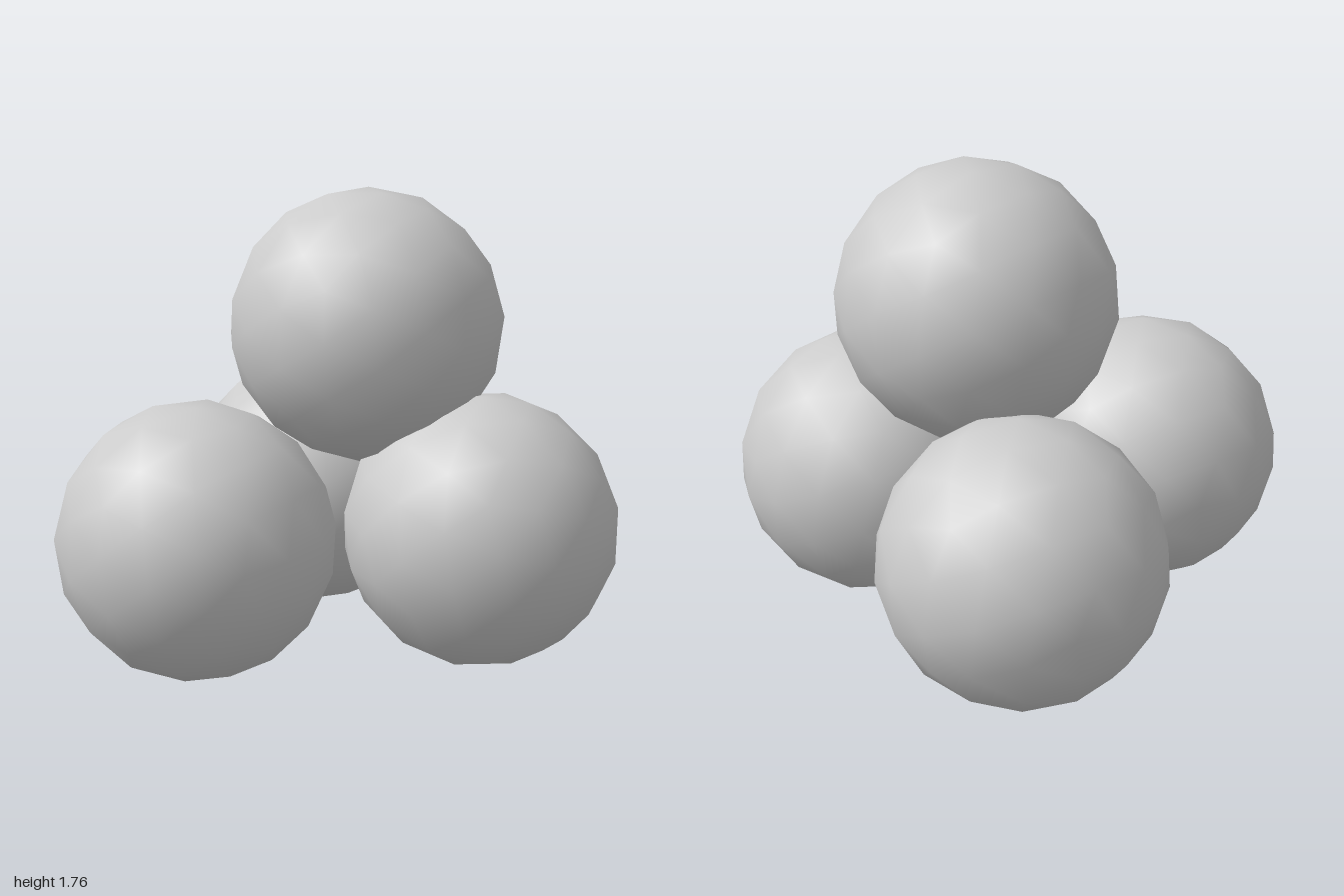
import * as THREE from 'three';

// Pyramid of four low-sided, smooth-shaded balls
export function createModel() {
  const group = new THREE.Group();
  const material = new THREE.MeshStandardMaterial({ color: 0xcccccc });
  const geometry = new THREE.IcosahedronGeometry(0.517, 2);

  // name, centre, tilt
  const balls = [
    ['frontBall', [-0.12, 0.52, 0.47], [0.1, 0.2, 0.08]],
    ['backRightBall', [-0.49, 0.52, -0.475], [0.1, 0.2, 0.08]],
    ['backLeftBall', [0.49, 0.52, -0.4], [0.15, 0.9, 0.1]],
    ['topBall', [0.06, 1.26, -0.22], [0.2, 0.5, -0.05]],
  ];
  for (const [name, centre, tilt] of balls) {
    const ball = new THREE.Mesh(geometry, material);
    ball.name = name;
    ball.position.set(...centre);
    ball.rotation.set(...tilt);
    group.add(ball);
  }
  return group;
}
